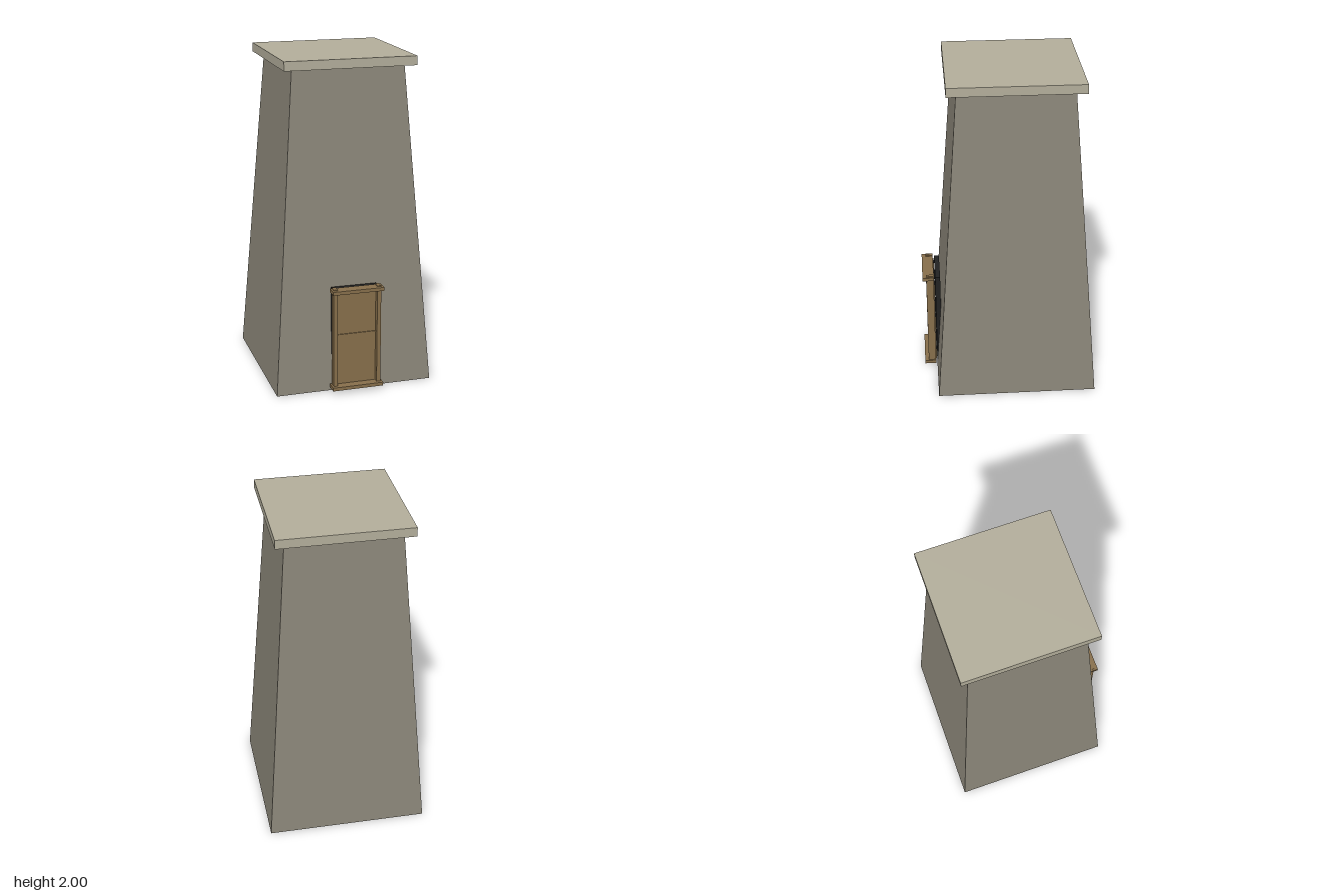
import * as THREE from 'three';

const material = (name, color) => {
  const m = new THREE.MeshStandardMaterial({ color });
  m.name = name;
  return m;
};

export function createModel() {
  const stone = material('stone', 0x8b8679);
  const capStone = material('pale stone', 0xb4af9c);
  const wood = material('wood', 0x88704c);
  const dark = material('dark opening', 0x222222);

  const model = new THREE.Group();
  model.name = 'tower';

  // Box given by its lower and upper limits on each axis
  const box = (name, mat, [x0, x1], [y0, y1], [z0, z1], parent = model) => {
    const mesh = new THREE.Mesh(new THREE.BoxGeometry(x1 - x0, y1 - y0, z1 - z0), mat);
    mesh.position.set((x0 + x1) / 2, (y0 + y1) / 2, (z0 + z1) / 2);
    mesh.name = name;
    parent.add(mesh);
    return mesh;
  };

  // Tapered shaft: a box whose top is drawn inwards
  const zMid = -0.039;
  const shaft = box('shaft', stone, [-0.486, 0.486], [0, 1.945], [zMid - 0.486, zMid + 0.486]);
  const p = shaft.geometry.attributes.position;
  for (let i = 0; i < p.count; i++) {
    if (p.getY(i) > 0) p.setXYZ(i, p.getX(i) * 0.703, p.getY(i), p.getZ(i) * 0.703);
  }
  shaft.geometry.computeVertexNormals();

  // Overhanging flat roof slab
  box('cap', capStone, [-0.4, 0.4], [1.945, 2], [zMid - 0.4, zMid + 0.4]);

  // Doorway
  const door = new THREE.Group();
  door.name = 'door';
  model.add(door);
  box('doorRecess', dark, [-0.14, 0.14], [0.04, 0.65], [0.415, 0.446], door);
  box('doorBacking', dark, [-0.125, 0.125], [0.04, 0.64], [0.449, 0.453], door);
  box('lowerPanel', wood, [-0.125, 0.125], [0.035, 0.354], [0.453, 0.47], door);
  box('upperPanel', wood, [-0.125, 0.125], [0.366, 0.626], [0.453, 0.47], door);
  box('midRail', wood, [-0.125, 0.125], [0.354, 0.366], [0.453, 0.476], door);

  // Frame
  for (const s of [-1, 1]) {
    const x = s * 0.135;
    box(s > 0 ? 'leftPost' : 'rightPost', wood, [x - 0.012, x + 0.012], [0.02, 0.661], [0.456, 0.502], door);
  }
  box('lintel', wood, [-0.158, 0.158], [0.635, 0.656], [0.455, 0.525], door);
  box('sill', wood, [-0.158, 0.158], [0.025, 0.046], [0.455, 0.525], door);

  return model;
}
